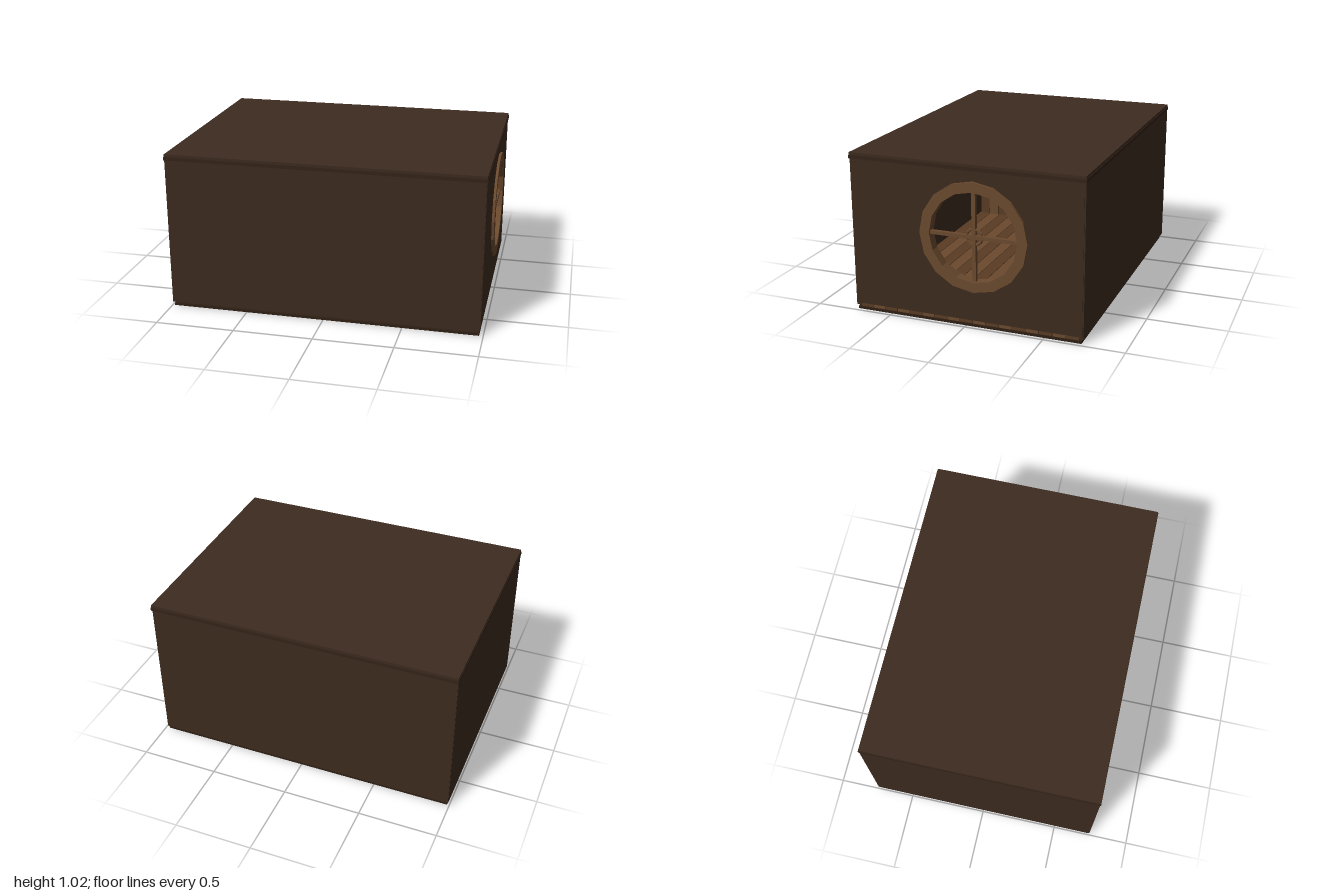
import * as THREE from 'three';

const mat = (color) => new THREE.MeshStandardMaterial({ color, flatShading: true });

export function createModel() {
  const room = new THREE.Group();
  room.name = 'cabinRoom';
  const wallMat = mat(0x3d2b1f), trimMat = mat(0x342318), slabMat = mat(0x2e1f14);
  const woodMat = mat(0x6b4a2e), boardMat = mat(0x5a3c24), ironMat = mat(0x2a2d30), steelMat = mat(0x4a4f54);

  const add = (name, geo, material, x = 0, y = 0, z = 0, parent = room) => {
    const m = new THREE.Mesh(geo, material);
    m.name = name;
    m.position.set(x, y, z);
    parent.add(m);
    return m;
  };
  // Box given by its limits on each axis
  const box = (name, material, x0, x1, y0, y1, z0, z1, parent) =>
    add(name, new THREE.BoxGeometry(x1 - x0, y1 - y0, z1 - z0), material,
      (x0 + x1) / 2, (y0 + y1) / 2, (z0 + z1) / 2, parent);

  // Polygon with 16 sides as shape or hole
  const ringPath = (P, r, cx, cy) => {
    const p = new P();
    p.setFromPoints(Array.from({ length: 16 }, (_, i) => {
      const a = (i / 16) * Math.PI * 2;
      return new THREE.Vector2(cx + r * Math.cos(a), cy + r * Math.sin(a));
    }));
    p.closePath();
    return p;
  };
  // Shape drawn in (-z, y), extruded outward along +x
  const extrudeX = (shape, depth) =>
    new THREE.ExtrudeGeometry(shape, { depth, bevelEnabled: false }).rotateY(Math.PI / 2);

  // Floor: base slab and planks running along x
  box('floorSlab', slabMat, -0.985, 0.975, 0, 0.016, -0.73, 0.735);
  const planks = new THREE.Group();
  planks.name = 'floorPlanks';
  room.add(planks);
  const pitch = 1.434 / 17;
  for (let i = 0; i < 17; i++) {
    const z = -0.717 + i * pitch;
    box('floorPlank', i % 2 ? woodMat : boardMat, -0.965, 0.972, 0.018, 0.042, z + 0.002, z + pitch - 0.002, planks);
  }

  // Solid walls
  box('frontWall', wallMat, -0.993, 0.978, 0.028, 0.99, 0.715, 0.743);
  box('backWall', wallMat, -0.993, 0.978, 0.028, 0.99, -0.743, -0.715);
  box('farWall', wallMat, -0.995, -0.965, 0.03, 0.99, -0.738, 0.738);

  // Window wall with a round opening
  const cz = -0.06, cy = 0.573;
  const wall = new THREE.Shape();
  wall.moveTo(-0.735, 0.043).lineTo(0.735, 0.043).lineTo(0.735, 0.99).lineTo(-0.735, 0.99).closePath();
  wall.holes.push(ringPath(THREE.Path, 0.31, -cz, cy));
  add('windowWall', extrudeX(wall, 0.03), wallMat, 0.952);

  // Roof slab with a trim band below its edge
  box('roof', wallMat, -0.994, 0.984, 0.985, 1.016, -0.743, 0.743);
  for (const s of [-1, 1]) box('roofTrim', trimMat, -0.997, 0.987, 0.978, 1.0, s * 0.735 - 0.012, s * 0.735 + 0.012);
  box('roofTrim', trimMat, -0.997, -0.975, 0.978, 1.0, -0.747, 0.747);
  box('roofTrim', trimMat, 0.965, 0.987, 0.978, 1.0, -0.747, 0.747);

  // Round window: frame, crossing bars and hub ring
  const win = new THREE.Group();
  win.name = 'roundWindow';
  win.position.set(0, cy, cz);
  room.add(win);
  const frame = ringPath(THREE.Shape, 0.343, 0, 0);
  frame.holes.push(ringPath(THREE.Path, 0.28, 0, 0));
  add('windowFrame', extrudeX(frame, 0.065), woodMat, 0.933, 0, 0, win);
  box('uprightBar', woodMat, 0.955, 0.98, -0.282, 0.282, -0.012, 0.012, win);
  box('crossBar', woodMat, 0.957, 0.982, -0.011, 0.011, -0.282, 0.282, win);
  add('hubRing', new THREE.TorusGeometry(0.05, 0.009, 6, 12).rotateY(Math.PI / 2), woodMat, 0.968, 0, 0, win);

  // Upright boards on the far wall
  const boards = new THREE.Group();
  boards.name = 'wallBoards';
  room.add(boards);
  for (let i = 0; i < 19; i++) {
    const z = -0.71 + i * 0.0747;
    box('wallBoard', i % 2 ? woodMat : boardMat, -0.965, -0.945 + (i % 2) * 0.008, 0.042, 0.98, z + 0.002, z + 0.073, boards);
  }

  // Ceiling beams across the room
  for (let i = 0; i < 5; i++) {
    const x = -0.76 + i * 0.38;
    box('ceilingBeam', boardMat, x - 0.03, x + 0.03, 0.92, 0.985, -0.715, 0.715);
  }

  // Iron stove with a flue pipe
  const stove = new THREE.Group();
  stove.name = 'stove';
  room.add(stove);
  box('stoveBody', ironMat, -0.92, -0.72, 0.07, 0.32, -0.03, 0.2, stove);
  box('stoveTop', steelMat, -0.93, -0.71, 0.32, 0.335, -0.04, 0.21, stove);
  box('kettle', steelMat, -0.8, -0.74, 0.335, 0.4, 0.06, 0.125, stove);
  for (const x of [-0.9, -0.74]) for (const z of [-0.01, 0.18])
    box('stoveLeg', ironMat, x - 0.012, x + 0.012, 0.042, 0.07, z - 0.012, z + 0.012, stove);
  add('fluePipe', new THREE.CylinderGeometry(0.035, 0.035, 0.65, 10), ironMat, -0.86, 0.66, 0.065, stove);

  return room;
}
